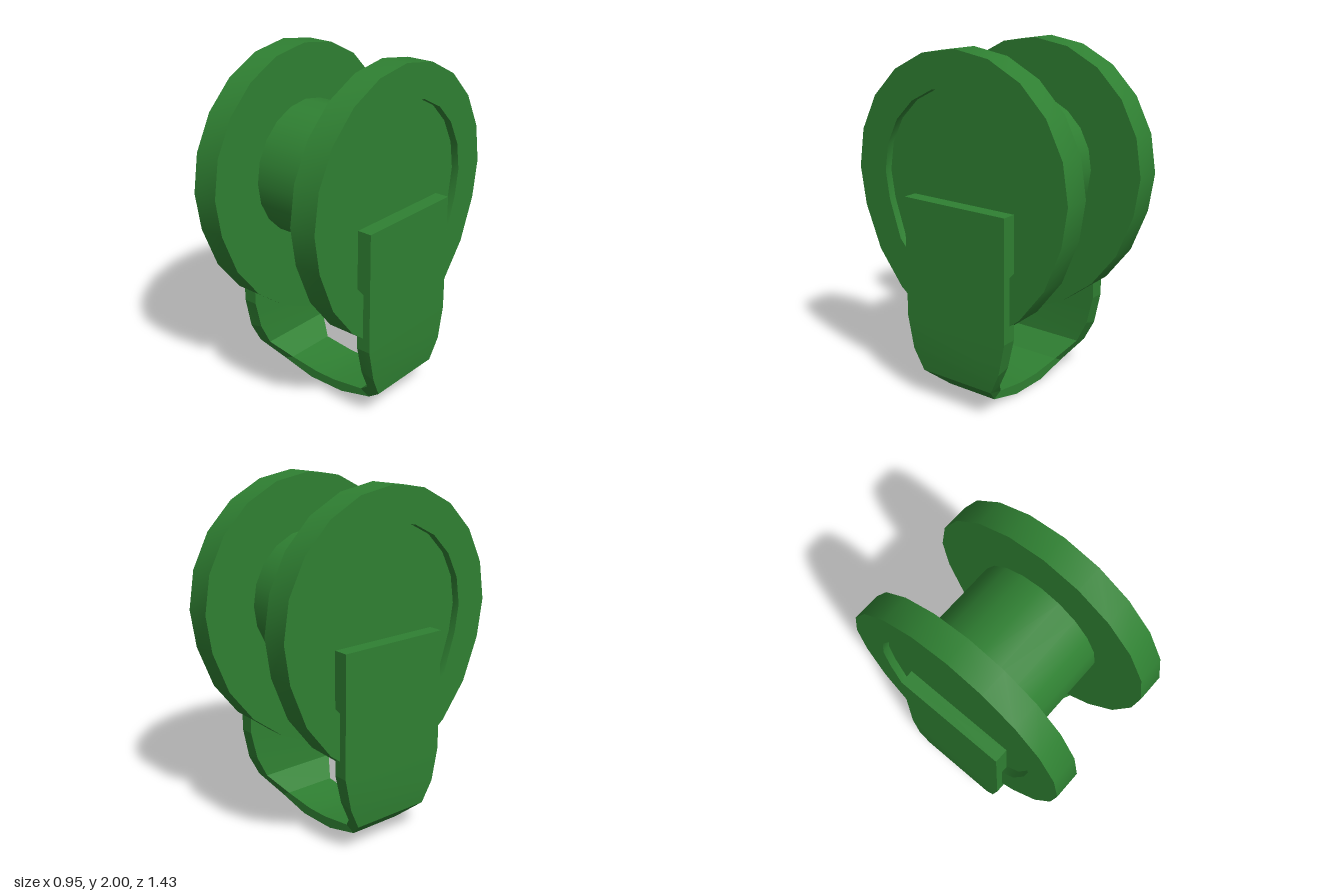
import * as THREE from 'three';
import { toCreasedNormals } from 'three/addons/utils/BufferGeometryUtils.js';

const AXLE_Y = 1.29;
const SIDES = 20;

// Skin a sequence of closed rings (each an array of Vector3, same length)
function loft(rings, crease) {
  const pos = [];
  const tri = (a, b, c) => {
    if (a.equals(b) || b.equals(c) || c.equals(a)) return;
    for (const p of [a, b, c]) pos.push(p.x, p.y, p.z);
  };
  for (let i = 0; i < rings.length - 1; i++) {
    const n = rings[i].length;
    for (let j = 0; j < n; j++) {
      const k = (j + 1) % n;
      tri(rings[i][j], rings[i][k], rings[i + 1][j]);
      tri(rings[i][k], rings[i + 1][k], rings[i + 1][j]);
    }
  }
  const geo = new THREE.BufferGeometry();
  geo.setAttribute('position', new THREE.Float32BufferAttribute(pos, 3));
  return toCreasedNormals(geo, crease);
}

// Collapse a ring to its middle, to close an end
function middle(ring) {
  const c = new THREE.Vector3();
  ring.forEach((p) => c.add(p));
  c.divideScalar(ring.length);
  return ring.map(() => c);
}

// 20-sided ring around the axle; stretch lengthens the lower steps (18 degrees each)
function discRing(x, r, stretch) {
  return Array.from({ length: SIDES }, (_, i) => {
    const a = (i / SIDES) * Math.PI * 2;
    const below = 5 - Math.abs(i - SIDES / 2); // 1..5 under the axle
    const s = below > 0 ? stretch[below - 1] : 1;
    return new THREE.Vector3(x, AXLE_Y + r * Math.cos(a) * s, r * Math.sin(a));
  });
}

export function createModel() {
  const group = new THREE.Group();
  const material = new THREE.MeshStandardMaterial({ color: 0x2f8032 });
  const add = (name, geo) => {
    const mesh = new THREE.Mesh(geo, material);
    mesh.name = name;
    group.add(mesh);
    return mesh;
  };

  // Drum between the flanges
  const drumGeo = new THREE.CylinderGeometry(0.395, 0.395, 0.56, SIDES);
  drumGeo.rotateZ(Math.PI / 2);
  add('drum', drumGeo).position.set(0, AXLE_Y, 0);

  // Flanges: egg-shaped discs with a shallow recess in the outer face
  const rimStretch = [1, 1.12, 1.16, 1.21, 1.29];
  const recessStretch = [1, 1.25, 1.21, 1.24, 1.29];
  const inner = discRing(0.27, 0.713, rimStretch);
  const outer = discRing(0.43, 0.713, rimStretch);
  const lip = discRing(0.43, 0.515, recessStretch);
  const floor = discRing(0.385, 0.515, recessStretch);
  const flangeGeo = loft([middle(inner), inner, outer, lip, floor, middle(floor)], 0.5);
  add('leftFlange', flangeGeo);
  add('rightFlange', flangeGeo).rotation.y = Math.PI;

  // Strap: U-shaped bracket, tapering towards the bottom
  // outer x, outer y, inner x, inner y, half width
  const half = [
    [0.475, 1.18, 0.39, 1.18, 0.345],
    [0.475, 0.48, 0.39, 0.48, 0.345],
    [0.475, 0.29, 0.39, 0.31, 0.305],
    [0.463, 0.165, 0.382, 0.18, 0.243],
    [0.33, 0.05, 0.27, 0.08, 0.162],
    [0.12, 0, 0.07, 0.055, 0.162],
  ];
  const mirrored = half.map(([ox, oy, ix, iy, w]) => [-ox, oy, -ix, iy, w]).reverse();
  const zMid = -0.011;
  const sections = [...half, ...mirrored].map(([ox, oy, ix, iy, w]) => [
    new THREE.Vector3(ix, iy, zMid + w),
    new THREE.Vector3(ix, iy, zMid - w),
    new THREE.Vector3(ox, oy, zMid - w),
    new THREE.Vector3(ox, oy, zMid + w),
  ]);
  const last = sections[sections.length - 1];
  add('strap', loft([middle(sections[0]), ...sections, middle(last)], 0.15));

  return group;
}
